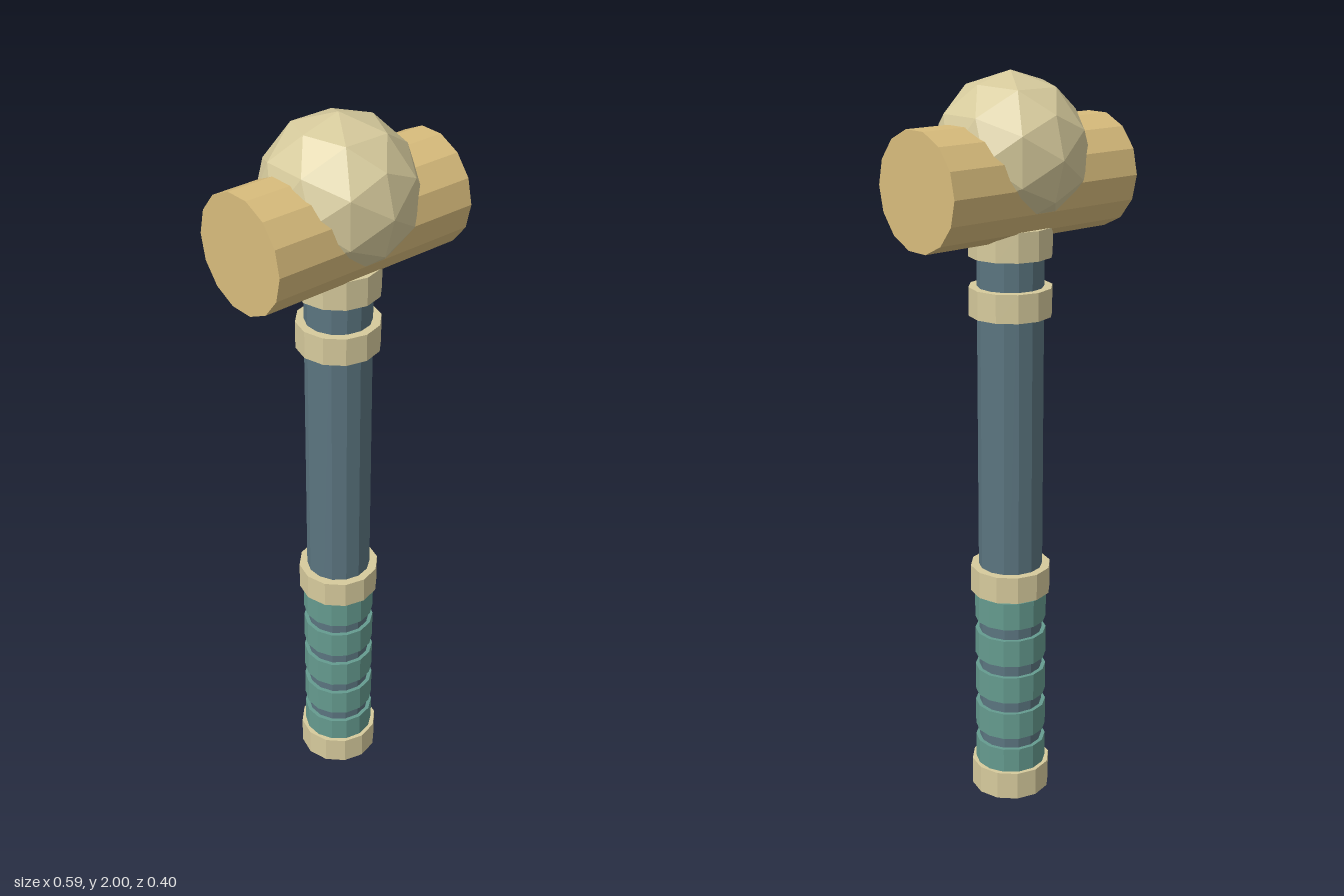
import * as THREE from 'three';

const flat = (name, color) => {
  const m = new THREE.MeshStandardMaterial({ color });
  m.name = name;
  m.flatShading = true;
  return m;
};

export function createModel() {
  const gold = flat('gold', 0xd8bc7c);
  const ivory = flat('ivory', 0xd6ca9c);
  const slate = flat('slate', 0x5b7580);
  const teal = flat('teal', 0x659b8f);

  const group = new THREE.Group();
  group.name = 'hammer';

  const add = (name, geometry, material, y) => {
    const mesh = new THREE.Mesh(geometry, material);
    mesh.name = name;
    mesh.position.y = y;
    group.add(mesh);
    return mesh;
  };
  // Upright faceted cylinder between two heights
  const ring = (name, r, y0, y1, sides, material) =>
    add(name, new THREE.CylinderGeometry(r, r, y1 - y0, sides), material, (y0 + y1) / 2);

  // Handle
  ring('shaft', 0.087, 0.03, 1.68, 14, slate);

  // Collars from the pommel up to the head
  [[0, 0.08], [0.608, 0.683], [1.385, 1.46], [1.54, 1.617]].forEach(([y0, y1], i) =>
    ring(i === 0 ? 'pommel' : `collar${i}`, 0.11, y0, y1, 12, ivory));

  // Grip wraps
  for (let i = 0; i < 5; i++) {
    const y = 0.112 + i * 0.1125;
    ring(`gripWrap${i + 1}`, 0.098, y - 0.039, y + 0.039, 14, teal);
  }

  // Head: sideways barrel with a faceted ball set into it
  const barrel = new THREE.CylinderGeometry(0.15, 0.15, 0.594, 14).rotateZ(Math.PI / 2);
  add('headBarrel', barrel, gold, 1.731);
  add('headBall', new THREE.IcosahedronGeometry(0.2, 1), ivory, 1.8);

  return group;
}
